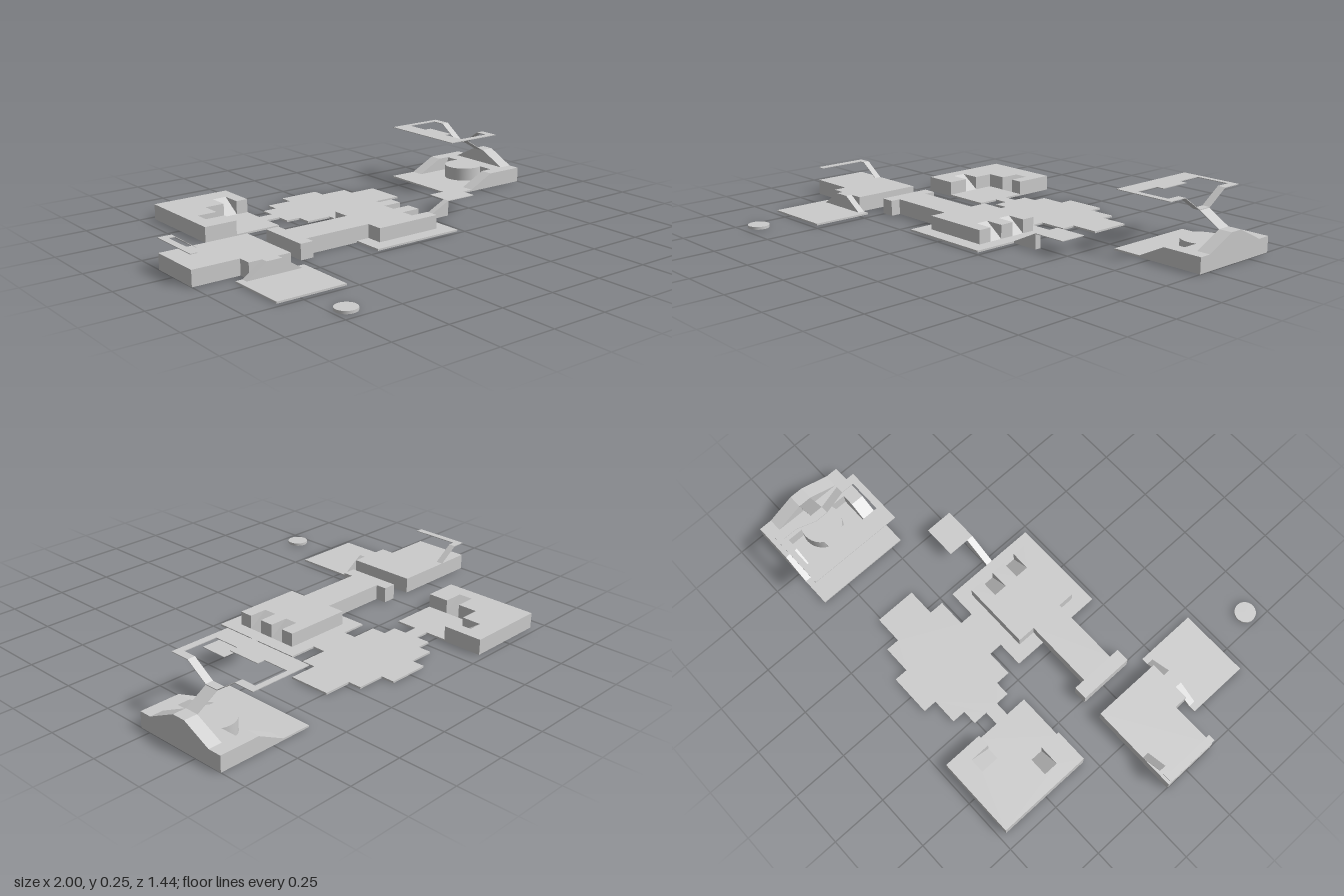
import * as THREE from 'three';

const mat = new THREE.MeshStandardMaterial({ color: 0xcccccc, side: THREE.DoubleSide });
const F = 0.008, H1 = 0.068, H2 = 0.13, H3 = 0.19, H4 = 0.254, T = 0.003;

const toShape = pts => new THREE.Shape(pts.map(p => new THREE.Vector2(p[0], p[1])));
const flip = pts => pts.map(([x, z]) => [x, -z]);
const rect = (x0, x1, z0, z1) => [[x0, z0], [x1, z0], [x1, z1], [x0, z1]];
const extrude = (shape, depth) => new THREE.ExtrudeGeometry(shape, { depth, bevelEnabled: false });

export function createModel() {
  const model = new THREE.Group();

  const add = (name, geometry, parent) => {
    const mesh = new THREE.Mesh(geometry, mat);
    mesh.name = name;
    parent.add(mesh);
    return mesh;
  };
  const section = name => {
    const g = new THREE.Group();
    g.name = name;
    model.add(g);
    return g;
  };
  // Floor plan in (x, z), raised from y0 to y1
  const plan = (name, parent, pts, y0, y1, hole) => {
    const shape = toShape(flip(pts));
    if (hole) shape.holes.push(toShape(flip(hole)));
    add(name, extrude(shape, y1 - y0).rotateX(-Math.PI / 2).translate(0, y0, 0), parent);
  };
  // Side profile in (x, y), running from z0 to z1
  const alongZ = (name, parent, pts, z0, z1) =>
    add(name, extrude(toShape(pts), z1 - z0).translate(0, 0, z0), parent);
  // Side profile in (z, y), running from x0 to x1
  const alongX = (name, parent, pts, x0, x1) =>
    add(name, extrude(toShape(pts), x1 - x0).rotateY(-Math.PI / 2).translate(x1, 0, 0), parent);
  // Profiles of a solid ramp and of a thin sloping sheet
  const wedge = (low, high, top = H1) => [[low, 0], [high, 0], [high, top], [low, F]];
  const sheet = (a, ya, b, yb) => [[a, ya - T], [b, yb - T], [b, yb], [a, ya]];

  // Central area: floor, raised block with two ramps cut into its edge, and walkway
  const centre = section('centralArea');
  plan('centralFloor', centre, rect(-0.2, 0.225, -0.2, 0.23), 0, F);
  plan('centralBlock', centre, [
    [-0.14, -0.14], [0.165, -0.14], [0.165, -0.08], [0.08, -0.08], [0.08, -0.02], [0.165, -0.02],
    [0.165, 0.045], [0.08, 0.045], [0.08, 0.105], [0.165, 0.105], [0.165, 0.165], [-0.14, 0.165],
    [-0.14, 0.09], [-0.45, 0.09], [-0.45, 0.135], [-0.51, 0.135], [-0.51, -0.11], [-0.45, -0.11],
    [-0.45, -0.06], [-0.14, -0.06]], 0, H1);
  for (const z of [-0.08, 0.045]) alongZ('centralRamp', centre, wedge(0.165, 0.08), z, z + 0.06);
  alongZ('sideRamp', centre, wedge(0.225, 0.35), 0, 0.03);
  plan('sideLedge', centre, rect(0.35, 0.5, -0.095, 0.03), H1 - T, H1);

  // Stepped court behind the centre
  plan('steppedCourt', section('backCourt'), [
    [-0.085, -0.63], [0.1, -0.63], [0.1, -0.57], [0.225, -0.57], [0.225, -0.51], [0.35, -0.51],
    [0.35, -0.325], [0.225, -0.325], [0.225, -0.26], [0.1, -0.26], [0.1, -0.2], [-0.085, -0.2],
    [-0.085, -0.26], [-0.2, -0.26], [-0.2, -0.325], [-0.265, -0.325], [-0.265, -0.385], [-0.33, -0.385],
    [-0.33, -0.445], [-0.265, -0.445], [-0.265, -0.51], [-0.2, -0.51], [-0.2, -0.57], [-0.085, -0.57]], 0, F);

  // Corner block with a low court and two ramps cut into its inner walls
  const corner = section('cornerArea');
  plan('cornerFloor', corner, rect(-0.54, -0.33, -0.54, -0.29), 0, F);
  plan('cornerBlock', corner, [
    [-0.69, -0.72], [-0.33, -0.72], [-0.33, -0.54], [-0.385, -0.54], [-0.385, -0.63], [-0.45, -0.63],
    [-0.45, -0.54], [-0.54, -0.54], [-0.54, -0.45], [-0.63, -0.45], [-0.63, -0.385], [-0.54, -0.385],
    [-0.54, -0.29], [-0.69, -0.29]], 0, H1);
  alongZ('cornerSideRamp', corner, wedge(-0.54, -0.63), -0.45, -0.385);
  alongX('cornerBackRamp', corner, wedge(-0.54, -0.63), -0.45, -0.385);

  // Side block with an upper walkway and a two-way ramp down to the front floor
  const side = section('sideArea');
  plan('sideBlock', side, [
    [-1, -0.11], [-0.6, -0.11], [-0.6, 0.2], [-0.79, 0.2], [-0.79, 0.14], [-1, 0.14]], 0, H1);
  plan('upperWalkway', side, [
    [-1, -0.11], [-0.94, -0.11], [-0.94, -0.08], [-0.97, -0.08], [-0.97, 0.14], [-1, 0.14]], H2 - T, H2);
  alongZ('walkwayRamp', side, sheet(-0.94, H2, -0.85, H1), -0.11, -0.08);
  plan('frontFloor', side, rect(-0.85, -0.54, 0.2, 0.475), 0, F);
  alongZ('twoWayRamp', side, [
    [-0.82, 0], [-0.57, 0], [-0.57, F], [-0.66, H1], [-0.73, H1], [-0.82, F]], 0.2, 0.23);

  // Tower: floor, U-shaped terrace with ramped arms, ridge and round stage
  const tower = section('towerArea');
  plan('towerFloor', tower, rect(0.57, 1, -0.63, -0.2), 0, F);
  const arm = [[0.7, 0], [1, 0], [1, H1], [0.82, H1], [0.7, F]];
  alongZ('terraceArm', tower, arm, -0.63, -0.57);
  alongZ('terraceArm', tower, arm, -0.26, -0.2);
  plan('terraceBack', tower, rect(0.875, 1, -0.57, -0.26), 0, H1);
  alongX('ridge', tower, [[-0.57, H1], [-0.255, H1], [-0.385, H2], [-0.445, H2]], 0.94, 1);
  add('roundStage', new THREE.CylinderGeometry(0.09, 0.09, H1, 32), tower).position.set(0.84, H1 / 2, -0.415);

  // Tower top: thin rising ramp, landing, split ramps and an open ring
  alongZ('risingRamp', tower, sheet(0.84, H3, 0.94, H2), -0.445, -0.385);
  plan('landing', tower, rect(0.81, 0.845, -0.445, -0.385), H3 - T, H3);
  alongX('splitRamp', tower, sheet(-0.385, H3, -0.29, H4), 0.81, 0.845);
  alongX('splitRamp', tower, sheet(-0.54, H4, -0.445, H3), 0.81, 0.845);
  plan('upperRing', tower, [
    [0.57, -0.63], [0.845, -0.63], [0.845, -0.54], [0.81, -0.54], [0.81, -0.605], [0.655, -0.605],
    [0.655, -0.49], [0.69, -0.49], [0.69, -0.345], [0.655, -0.345], [0.655, -0.23], [0.81, -0.23],
    [0.81, -0.29], [0.845, -0.29], [0.845, -0.2], [0.57, -0.2]], H4 - T, H4);

  // Small separate disc
  add('disc', new THREE.CylinderGeometry(0.046, 0.046, 0.012, 32), model).position.set(-0.69, 0.006, 0.672);

  return model;
}
